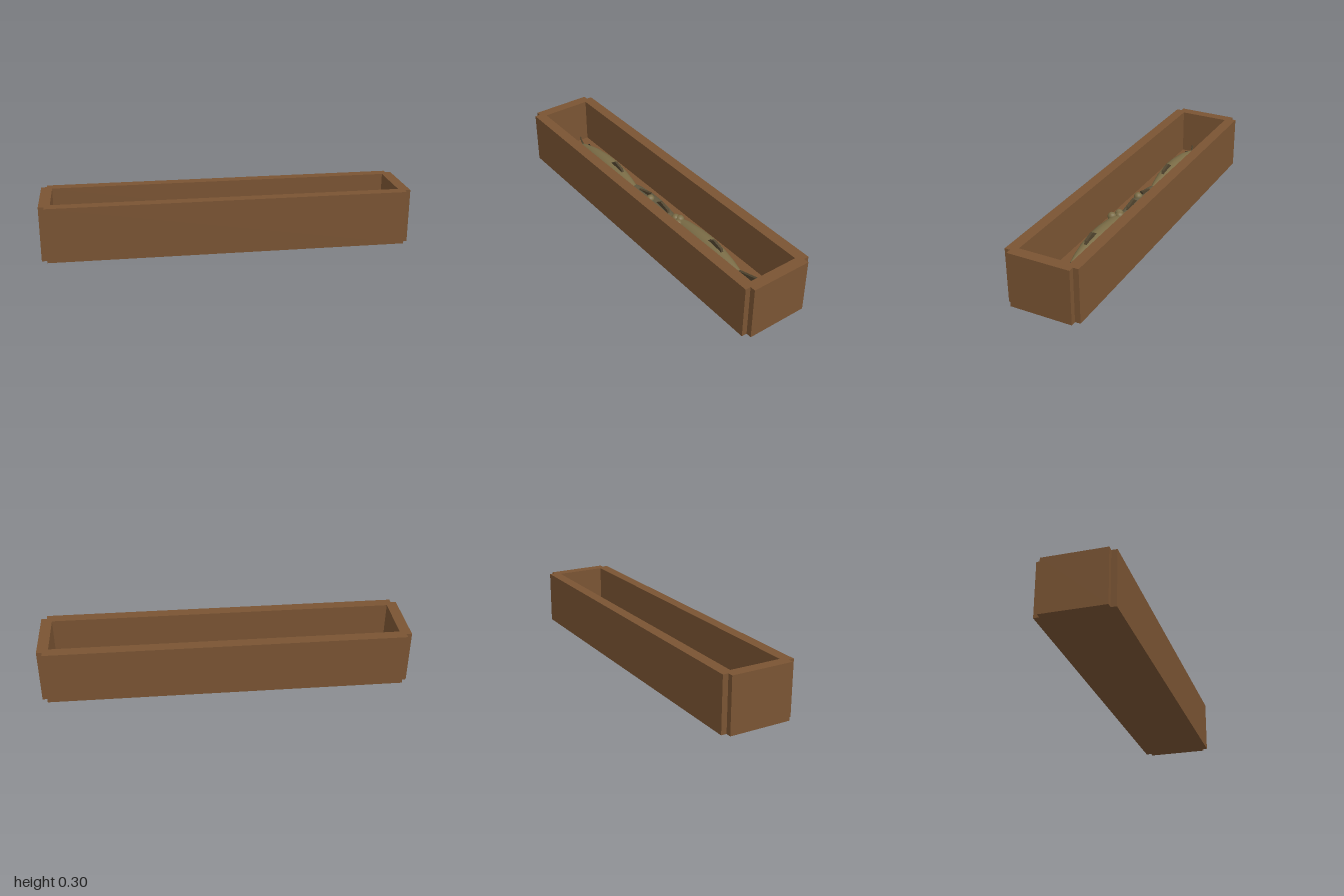
import * as THREE from 'three';

const mat = (name, color, extra = {}) => {
  const m = new THREE.MeshStandardMaterial({ color, ...extra });
  m.name = name;
  return m;
};

export function createModel() {
  const wood = mat('wood', 0x7a5433);
  const skin = mat('olive skin', 0x7a6c46);
  const darkSkin = mat('dark olive skin', 0x625940);
  const fin = mat('fin', 0x51452f);
  const eye = mat('eye', 0x1c1812);

  const model = new THREE.Group();
  model.name = 'fishCrate';
  const add = (parent, name, geometry, material, x = 0, y = 0, z = 0) => {
    const mesh = new THREE.Mesh(geometry, material);
    mesh.name = name;
    mesh.position.set(x, y, z);
    parent.add(mesh);
    return mesh;
  };
  const shapeOf = (points) => new THREE.Shape(points.map(([x, y]) => new THREE.Vector2(x, y)));

  // Crate walls: one notched outline with a rectangular opening
  const outline = shapeOf([
    [-0.97, -0.2], [0.97, -0.2], [0.97, -0.17], [1, -0.17], [1, 0.17], [0.97, 0.17],
    [0.97, 0.2], [-0.97, 0.2], [-0.97, 0.17], [-1, 0.17], [-1, -0.17], [-0.97, -0.17],
  ]);
  outline.holes.push(shapeOf([[-0.94, -0.14], [-0.94, 0.14], [0.94, 0.14], [0.94, -0.14]]));
  const walls = new THREE.ExtrudeGeometry(outline, { depth: 0.3, bevelEnabled: false });
  walls.rotateX(-Math.PI / 2);
  add(model, 'crateWalls', walls, wood);
  add(model, 'crateFloor', new THREE.BoxGeometry(1.88, 0.04, 0.28), wood, 0, 0.02, 0);

  // Fish parts, nose towards -x, centred on the body
  const profile = [
    [0, -0.305], [0.012, -0.295], [0.026, -0.25], [0.045, -0.16], [0.055, -0.05],
    [0.055, 0.03], [0.046, 0.12], [0.03, 0.21], [0.008, 0.3], [0, 0.305],
  ].map(([r, x]) => new THREE.Vector2(r, x));
  const bodyGeometry = new THREE.LatheGeometry(profile, 16).rotateZ(-Math.PI / 2);
  const plate = (points) => new THREE.ExtrudeGeometry(shapeOf(points), { depth: 0.014, bevelEnabled: false })
    .translate(0, 0, -0.007);
  const tailGeometry = plate([[0.27, -0.008], [0.425, -0.055], [0.39, 0], [0.425, 0.055], [0.27, 0.008]]);
  const dorsalGeometry = plate([[0.02, 0.04], [0.15, 0.03], [0.14, 0.06], [0.08, 0.078]]);
  const eyeGeometry = new THREE.SphereGeometry(0.008, 8, 6);
  const whiskerGeometry = new THREE.CylinderGeometry(0.004, 0.006, 0.1, 6).rotateZ(Math.PI / 2);

  const addFish = (name, x, y, material) => {
    const fish = new THREE.Group();
    fish.name = name;
    fish.position.set(x, y, 0);
    model.add(fish);
    add(fish, 'body', bodyGeometry, material);
    add(fish, 'tailFin', tailGeometry, fin);
    add(fish, 'dorsalFin', dorsalGeometry, fin);
    for (const side of [-1, 1]) {
      add(fish, 'eye', eyeGeometry, eye, -0.25, 0.014, side * 0.021);
      const whisker = add(fish, 'whisker', whiskerGeometry, fin, -0.335, 0, side * 0.022);
      whisker.rotation.y = side * 0.35;
    }
  };
  addFish('leftEndFish', -0.475, 0.12, skin);
  addFish('lowerFish', -0.03, 0.095, darkSkin);
  addFish('rightEndFish', 0.425, 0.12, skin);

  // Small round pieces lying on the fish
  const ball = new THREE.SphereGeometry(0.024, 12, 8);
  [[-0.04, 0.145, 0.012], [0.19, 0.15, 0.01], [0.212, 0.15, -0.003], [0.235, 0.15, 0.03]]
    .forEach(([x, y, z]) => add(model, 'roundPiece', ball, skin, x, y, z));

  return model;
}
